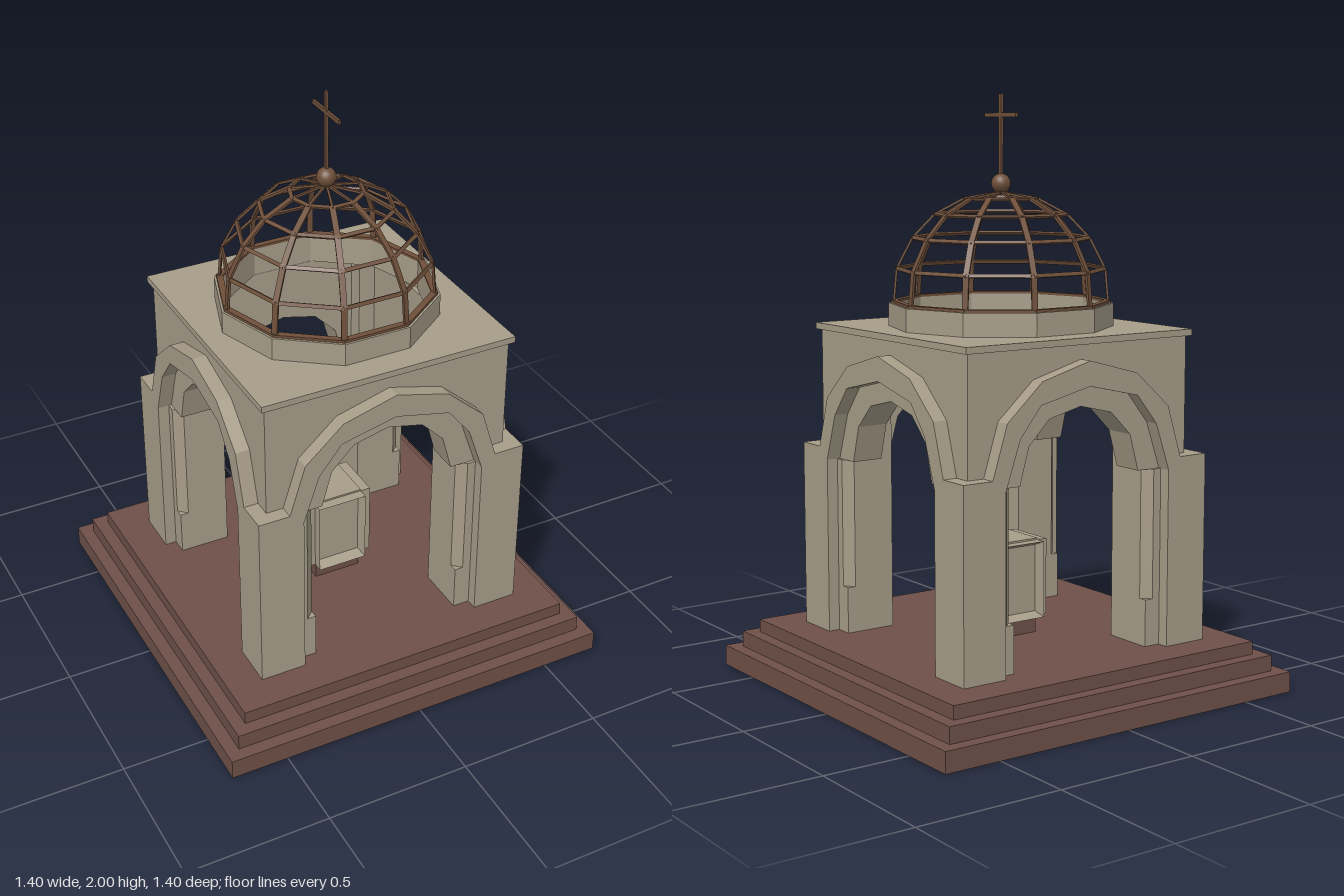
import * as THREE from 'three';

const stone = new THREE.MeshStandardMaterial({ color: 0xa69c88, flatShading: true });
const stoneThin = new THREE.MeshStandardMaterial({ color: 0xa69c88, flatShading: true, side: THREE.DoubleSide });
const brick = new THREE.MeshStandardMaterial({ color: 0x6e5048, flatShading: true, side: THREE.DoubleSide });
const bronze = new THREE.MeshStandardMaterial({ color: 0x6e4f3a, flatShading: true });
const bronzeSmooth = new THREE.MeshStandardMaterial({ color: 0x6e4f3a });

function add(parent, name, geometry, material) {
  const mesh = new THREE.Mesh(geometry, material);
  mesh.name = name;
  parent.add(mesh);
  return mesh;
}

// Box given by its centre in x and z and its bottom and top in y
function block(parent, name, material, w, d, y0, y1, x = 0, z = 0) {
  const mesh = add(parent, name, new THREE.BoxGeometry(w, y1 - y0, d), material);
  mesh.position.set(x, (y0 + y1) / 2, z);
  return mesh;
}

const shapeOf = (points) => new THREE.Shape(points.map((p) => new THREE.Vector2(...p)));
const extrude = (shape, depth) => new THREE.ExtrudeGeometry(shape, { depth, bevelEnabled: false });
const polygon = (n, r) => Array.from({ length: n }, (_, i) => {
  const a = (i / n) * Math.PI * 2;
  return [r * Math.cos(a), r * Math.sin(a)];
});
// Mirrors half an arch (right foot to crown) into a full line from right to left
const mirrored = (half) => [...half, ...half.slice(0, -1).reverse().map(([x, y]) => [-x, y])];

// Flat horizontal plate with a ten-sided hole
function plate(parent, name, material, outline, holeRadius, y0, y1) {
  const shape = shapeOf(outline);
  shape.holes.push(new THREE.Path(polygon(10, holeRadius).map((p) => new THREE.Vector2(...p))));
  const mesh = add(parent, name, extrude(shape, y1 - y0), material);
  mesh.rotation.x = -Math.PI / 2;
  mesh.position.y = y0;
}

// Bar between two points of the dome, its flat side facing outwards
function bar(parent, name, a, b, width, thickness) {
  const along = b.clone().sub(a);
  const mesh = add(parent, name, new THREE.BoxGeometry(width, along.length() + thickness * 0.5, thickness), bronze);
  const mid = a.clone().add(b).multiplyScalar(0.5);
  along.normalize();
  const out = mid.clone().sub(new THREE.Vector3(0, 1.28, 0));
  out.addScaledVector(along, -out.dot(along)).normalize();
  const side = new THREE.Vector3().crossVectors(along, out);
  mesh.quaternion.setFromRotationMatrix(new THREE.Matrix4().makeBasis(side, along, out));
  mesh.position.copy(mid);
}

// Hollow stepped base, open below
function buildBase(parent) {
  const profile = [[0.7, 0], [0.7, 0.07], [0.655, 0.07], [0.655, 0.125], [0.61, 0.125], [0.61, 0.17], [0, 0.17]];
  const points = profile.map(([r, y]) => new THREE.Vector2(r * Math.SQRT2, y));
  add(parent, 'steppedBase', new THREE.LatheGeometry(points, 4, Math.PI / 4), brick);
}

function buildSide() {
  const side = new THREE.Group();
  side.name = 'archedSide';
  const opening = mirrored([[0.24, 0.77], [0.205, 0.895], [0.125, 0.975], [0, 1.005]]);
  const bandInner = mirrored([[0.33, 0.77], [0.275, 0.93], [0.195, 1.03], [0, 1.075]]);
  const bandOuter = mirrored([[0.38, 0.77], [0.38, 0.81], [0.325, 0.985], [0.19, 1.105], [0, 1.157]]);

  // Wall above the springing line
  const wall = shapeOf([[0.44, 0.77], [0.44, 1.205], [-0.44, 1.205], [-0.44, 0.77], ...opening.slice().reverse()]);
  add(side, 'archWall', extrude(wall, 0.11), stone).position.z = 0.33;

  // Raised band round the arch
  const band = shapeOf([...bandOuter, ...bandInner.slice().reverse()]);
  add(side, 'archBand', extrude(band, 0.06), stone).position.z = 0.43;
  return side;
}

function buildPier() {
  const pier = new THREE.Group();
  pier.name = 'cornerPier';
  block(pier, 'pierCorner', stone, 0.16, 0.16, 0.17, 0.81, 0.41, 0.41);
  // Recessed inner pier, its edges chamfered above the foot
  block(pier, 'pierFoot', stone, 0.18, 0.18, 0.17, 0.33, 0.36, 0.36);
  const plan = shapeOf([[0.27, 0.27], [0.42, 0.27], [0.45, 0.3], [0.45, 0.45], [0.3, 0.45], [0.27, 0.42]]);
  const shaft = add(pier, 'pierShaft', extrude(plan, 0.44), stone);
  shaft.rotation.x = Math.PI / 2;
  shaft.position.y = 0.77;
  // Inside corner up to the roof
  block(pier, 'pierHead', stone, 0.15, 0.15, 0.77, 1.205, 0.345, 0.345);
  return pier;
}

function buildAltar() {
  const altar = new THREE.Group();
  altar.name = 'altar';
  block(altar, 'altarFoot', brick, 0.17, 0.17, 0.17, 0.23);
  block(altar, 'altarCore', stone, 0.18, 0.18, 0.23, 0.5);
  // Sunk panel on each side: straight outer edge and splayed inner edge
  for (let i = 0; i < 4; i++) {
    const panel = new THREE.Group();
    panel.name = 'altarPanel';
    panel.rotation.y = i * Math.PI / 2;
    for (const [name, taper] of [['panelEdge', 1], ['panelSplay', 0.88]]) {
      const tube = new THREE.CylinderGeometry(Math.SQRT2, Math.SQRT2 * taper, 0.037, 4, 1, true, Math.PI / 4);
      tube.rotateX(Math.PI / 2).scale(0.09, 0.132, 1).translate(0, 0.362, 0.1085);
      add(panel, name, tube, stoneThin);
    }
    altar.add(panel);
  }
  return altar;
}

function buildDome() {
  const dome = new THREE.Group();
  dome.name = 'latticeDome';
  // Radius and height of each ring
  const rings = [[0.36, 1.31], [0.35, 1.42], [0.297, 1.523], [0.222, 1.602], [0.122, 1.655], [0.012, 1.674]];
  const at = (k, i) => {
    const a = (i / 10) * Math.PI * 2;
    return new THREE.Vector3(rings[k][0] * Math.cos(a), rings[k][1], rings[k][0] * Math.sin(a));
  };
  plate(dome, 'domeFootRing', bronze, polygon(10, 0.371), 0.348, 1.305, 1.314);
  for (let i = 0; i < 10; i++) {
    for (let k = 0; k < 5; k++) {
      bar(dome, 'domeRib', at(k, i), at(k + 1, i), k === 4 ? 0.008 : 0.02, 0.008);
      if (k > 0) bar(dome, 'domeRing', at(k, i), at(k, i + 1), 0.013, 0.008);
    }
  }
  return dome;
}

export function createModel() {
  const model = new THREE.Group();
  model.name = 'domedPavilion';
  buildBase(model);

  // Four arched sides and four corner piers
  for (let i = 0; i < 4; i++) {
    for (const part of [buildSide(), buildPier()]) {
      part.rotation.y = i * Math.PI / 2;
      model.add(part);
    }
  }

  // Cornice and ten-sided drum, both open in the middle
  const cornice = [[-0.455, -0.455], [0.455, -0.455], [0.455, 0.455], [-0.455, 0.455]];
  plate(model, 'cornice', stone, cornice, 0.348, 1.205, 1.227);
  plate(model, 'drum', stone, polygon(10, 0.379), 0.348, 1.227, 1.305);

  model.add(buildAltar(), buildDome());

  // Ball and cross on the top
  add(model, 'finialBall', new THREE.SphereGeometry(0.033, 20, 14), bronzeSmooth).position.y = 1.704;
  block(model, 'crossUpright', bronze, 0.009, 0.014, 1.73, 2);
  block(model, 'crossArm', bronze, 0.009, 0.18, 1.923, 1.937);
  return model;
}
